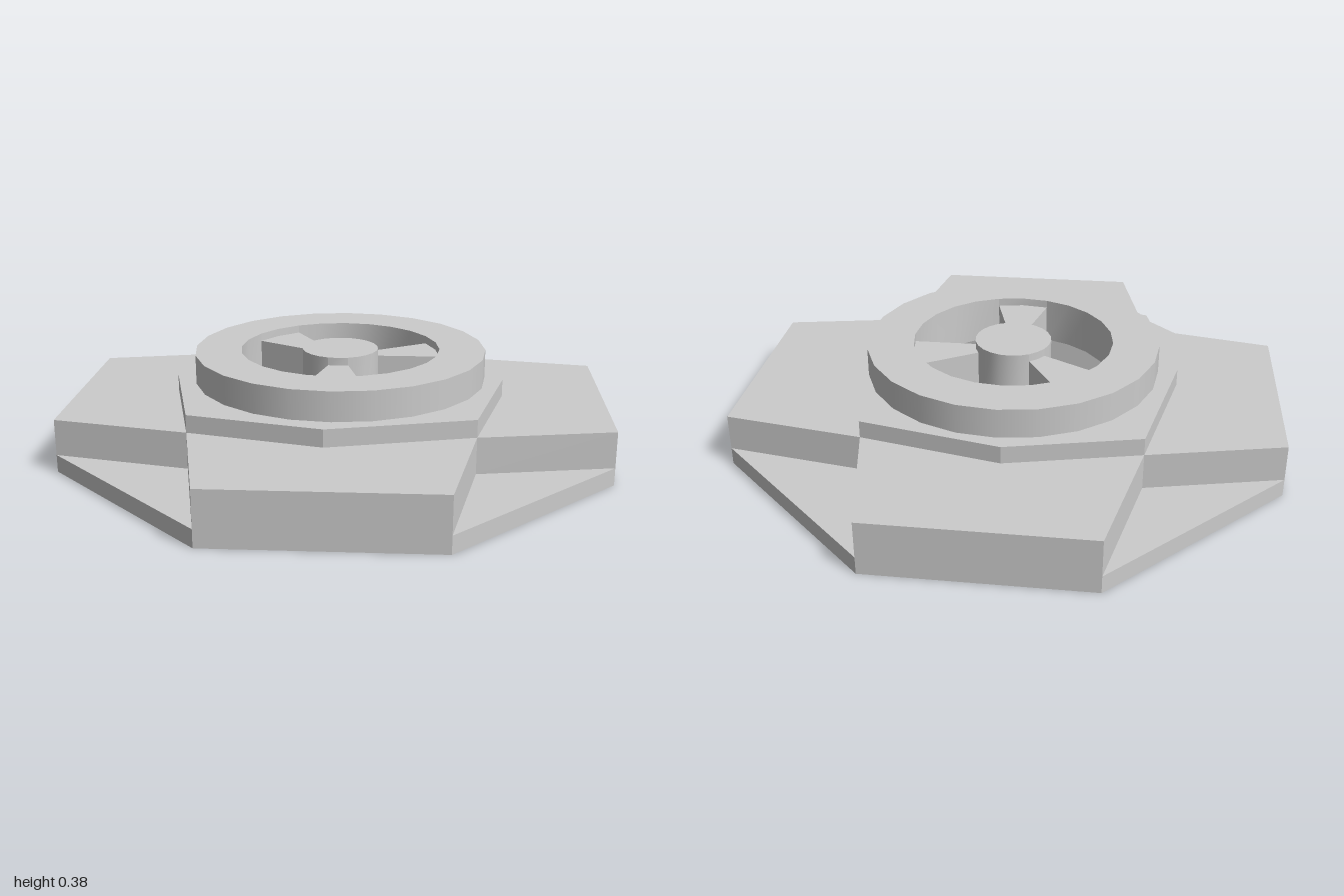
import * as THREE from 'three';

const grey = new THREE.MeshStandardMaterial({ color: 0xcccccc, side: THREE.DoubleSide });
const dark = new THREE.MeshStandardMaterial({ color: 0x959595, side: THREE.DoubleSide });

// Heights of the steps
const NOTCH = 0.065, ARM = 0.2, TIER = 0.265, SPOKE = 0.345, TOP = 0.375, FLOOR = 0.2;
// Radii of the ring, its well and the hub
const RING = 0.555, WELL = 0.38, HUB = 0.145;

// Plan corners as [x, z], running from +x towards +z
const outer = [[1, -0.43], [1, 0.43], [0.41, 1], [-0.43, 1], [-1, 0.43], [-1, -0.43], [-0.43, -1], [0.45, -1]];
const inner = [[0.7, 0], [0.42, 0.46], [0, 0.71], [-0.46, 0.43], [-0.72, 0], [-0.46, -0.43], [0, -0.72], [0.42, -0.45]];

// Points on a circle, one every 15 degrees
function arc(radius, from, to) {
  const points = [];
  for (let a = from; a <= to; a += 15) {
    const t = THREE.MathUtils.degToRad(a);
    points.push([radius * Math.cos(t), radius * Math.sin(t)]);
  }
  return points;
}
const circle = (radius) => arc(radius, 0, 345);

// Horizontal sheet facing up at height y, with an optional hole
function sheet(points, y, hole) {
  const toPlan = (list) => list.map(([x, z]) => new THREE.Vector2(x, -z));
  const shape = new THREE.Shape(toPlan(points));
  if (hole) shape.holes.push(new THREE.Path(toPlan(hole)));
  return new THREE.ShapeGeometry(shape).rotateX(-Math.PI / 2).translate(0, y, 0);
}

// Upright wall along a line of plan points
function wall(points, y0, y1, smooth = false) {
  const positions = [], index = [];
  points.forEach(([x, z], i) => {
    positions.push(x, y0, z, x, y1, z);
    if (i < points.length - 1) {
      const a = 2 * i;
      index.push(a, a + 1, a + 2, a + 1, a + 3, a + 2);
    }
  });
  let geometry = new THREE.BufferGeometry();
  geometry.setAttribute('position', new THREE.Float32BufferAttribute(positions, 3));
  geometry.setIndex(index);
  if (!smooth) geometry = geometry.toNonIndexed();
  geometry.computeVertexNormals();
  return geometry;
}

function part(name, geometries, material = grey) {
  const group = new THREE.Group();
  group.name = name;
  for (const geometry of geometries) {
    const mesh = new THREE.Mesh(geometry, material);
    mesh.name = name;
    group.add(mesh);
  }
  return group;
}

export function createModel() {
  const model = new THREE.Group();
  model.name = 'steppedBase';

  // Hollow base: four raised corner arms with low notches between them
  for (let i = 0; i < 8; i += 2) {
    const a = outer[i], b = outer[i + 1], next = outer[(i + 2) % 8];
    model.add(part('notch', [
      sheet([a, b, inner[i]], NOTCH),
      wall([a, b], 0, NOTCH),
      wall([a, inner[i], b], NOTCH, ARM),
    ]));
    model.add(part('cornerArm', [
      sheet([b, next, inner[(i + 2) % 8], inner[i + 1], inner[i]], ARM),
      wall([b, next], 0, ARM),
    ]));
  }

  // Octagonal step
  model.add(part('octagonalStep', [
    wall([...inner, inner[0]], ARM, TIER),
    sheet(inner, TIER, circle(RING)),
  ]));

  // Round ring
  model.add(part('ring', [
    new THREE.CylinderGeometry(RING, RING, TOP - TIER, 24, 1, true).translate(0, (TOP + TIER) / 2, 0),
    sheet(circle(RING), TOP, circle(WELL)),
  ]));

  // Hub cap
  model.add(part('hub', [sheet(circle(HUB), TOP)]));

  // Spokes, slightly below the top and open underneath
  for (const [from, to] of [[15, 45], [120, 150], [255, 285]]) {
    const rim = arc(WELL, from, to), root = arc(HUB, from, to);
    model.add(part('spoke', [
      sheet([...rim, ...[...root].reverse()], SPOKE),
      wall([...rim].reverse(), SPOKE, TOP, true),
      wall(root, SPOKE, TOP, true),
    ]));
  }

  // Sunken pockets between the spokes
  for (const [from, to] of [[45, 120], [150, 255], [285, 375]]) {
    const rim = arc(WELL, from, to), root = arc(HUB, from, to);
    const last = rim.length - 1;
    model.add(part('pocketWall', [
      wall([...rim].reverse(), FLOOR, TOP, true),
      wall(root, FLOOR, TOP, true),
      wall([rim[0], root[0]], FLOOR, SPOKE),
      wall([root[last], rim[last]], FLOOR, SPOKE),
    ]));
    model.add(part('pocketFloor', [sheet([...rim, ...[...root].reverse()], FLOOR)], dark));
  }

  return model;
}
